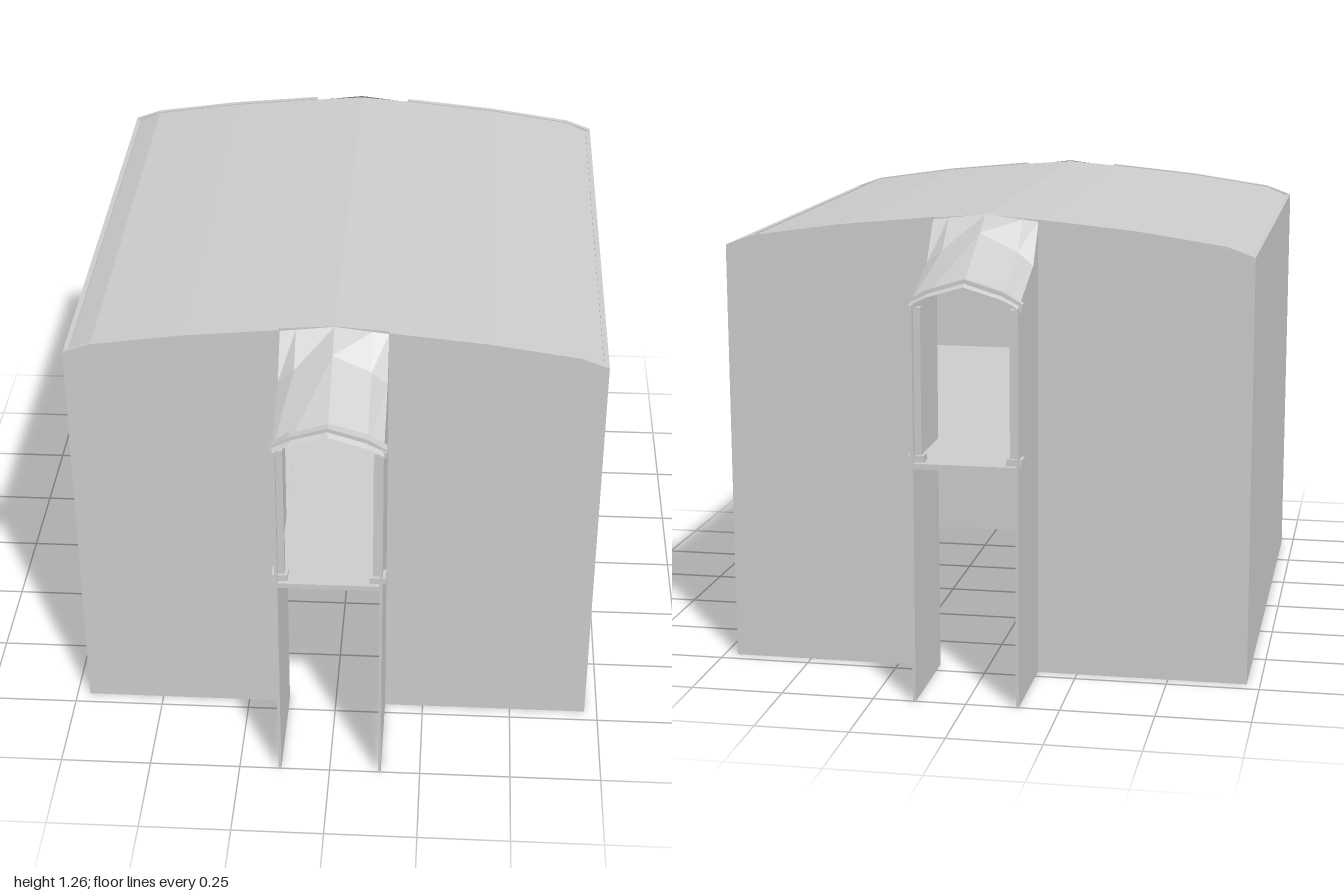
import * as THREE from 'three';

const HALF = 0.714;   // half width of the room
const DOOR = 0.142;   // half width of the passage
const T = 0.014;      // panel thickness
const FLOOR = 0.645;  // walking surface

// right half of the roof line, from ridge to eave
const ROOF = [[0, 1.258], [0.142, 1.247], [0.4, 1.222], [0.64, 1.187], [HALF, 1.16]];

// canopy sections, each z with a half profile from ridge to eave
const CANOPY = [
  { z: 0.706, p: [[0, 1.257], [0.1, 1.245], [DOOR, 1.24]] },
  { z: 0.785, p: [[0, 1.218], [0.1, 1.17], [DOOR, 1.135]] },
  { z: 1.0, p: [[0, 1.108], [0.1, 1.078], [DOOR, 1.057]] },
];

export function createModel() {
  const shell = new THREE.MeshStandardMaterial({ color: 0xcccccc, side: THREE.DoubleSide });
  shell.name = 'pale grey';
  const dark = new THREE.MeshStandardMaterial({ color: 0x5c4c38 });
  dark.name = 'dark brown';
  const underside = new THREE.MeshStandardMaterial({ color: 0xcccccc });
  underside.name = 'floor grey';

  const model = new THREE.Group();
  model.name = 'roomWithPassages';

  const add = (parent, name, geometry, material = shell) => {
    const mesh = new THREE.Mesh(geometry, material);
    mesh.name = name;
    parent.add(mesh);
    return mesh;
  };
  const box = (parent, name, size, pos, material) => {
    const mesh = add(parent, name, new THREE.BoxGeometry(...size), material);
    mesh.position.set(...pos);
    return mesh;
  };
  const extrude = (points, depth) => new THREE.ExtrudeGeometry(
    new THREE.Shape(points.map(([x, y]) => new THREE.Vector2(x, y))),
    { depth, bevelEnabled: false });
  const mirrored = (half) => [
    ...half.slice(1).reverse().map(([x, y]) => [-x, y]), ...half];

  // shallow arched roof, set just below the wall tops
  const top = mirrored(ROOF.map(([x, y]) => [Math.min(x, HALF - T), y - 0.003]));
  const lower = top.map(([x, y]) => [x, y - 0.012]).reverse();
  const roof = add(model, 'roof', extrude([...top, ...lower], 2 * (HALF - T)));
  roof.position.z = -(HALF - T);

  // plain side walls
  for (const s of [-1, 1]) {
    box(model, s > 0 ? 'leftWall' : 'rightWall', [T, 1.16, 2 * (HALF - T)],
      [s * (HALF - T / 2), 0.58, 0]);
  }

  // walkway running through both doors
  box(model, 'walkway', [2 * DOOR - 0.004, 0.015, 2], [0, FLOOR - 0.0075, 0]);

  // raised floors beside the walkway: top and underside share upward normals
  for (const s of [-1, 1]) {
    const w = HALF - T - DOOR;
    const sheet = new THREE.PlaneGeometry(w, 2 * (HALF - T)).rotateX(-Math.PI / 2);
    const x = s * (DOOR + w / 2);
    add(model, 'roomFloor', sheet, underside).position.set(x, 0.63, 0);
    const below = sheet.clone();
    below.setIndex([...sheet.index.array].reverse());
    add(model, 'roomFloorUnderside', below, underside).position.set(x, 0.626, 0);
  }

  // one end: wall panels, passage, canopy and door frame
  const makeEnd = (name) => {
    const end = new THREE.Group();
    end.name = name;

    for (const s of [-1, 1]) {
      const panel = [[DOOR, 0], [HALF, 0], ...ROOF.slice(1).reverse()]
        .map(([x, y]) => [s * x, y]);
      add(end, 'endPanel', extrude(panel, T)).position.z = HALF - T;

      // passage wall with its top following the canopy eave
      const wall = [[HALF - T, 0], [1, 0],
        ...CANOPY.slice().reverse().map(({ z, p }) => [z, p[2][1]])];
      const g = extrude(wall, 0.008).rotateY(-Math.PI / 2);
      add(end, 'passageWall', g).position.x = s > 0 ? DOOR : -DOOR + 0.008;

      // door post with foot and capital
      box(end, 'doorPost', [0.022, 0.4, 0.022], [s * 0.127, 0.85, 0.97]);
      box(end, 'postFoot', [0.042, 0.018, 0.04], [s * 0.129, 0.655, 0.97]);
      box(end, 'postCapital', [0.02, 0.018, 0.034], [s * 0.14, 1.054, 0.972]);
    }

    // faceted canopy lofted through its sections
    const rows = CANOPY.map(({ z, p }) => mirrored(p).map(([x, y]) => [x, y, z]));
    const pos = [];
    for (let i = 0; i < rows.length - 1; i++) {
      for (let j = 0; j < rows[i].length - 1; j++) {
        const [a, b] = [rows[i][j], rows[i][j + 1]];
        const [c, d] = [rows[i + 1][j], rows[i + 1][j + 1]];
        pos.push(...a, ...c, ...b, ...b, ...c, ...d);
      }
    }
    const canopy = new THREE.BufferGeometry();
    canopy.setAttribute('position', new THREE.Float32BufferAttribute(pos, 3));
    canopy.computeVertexNormals();
    add(end, 'canopy', canopy);

    // slim trim band around the canopy mouth
    const rim = mirrored([[0, 1.126], [0.1, 1.096], [0.15, 1.066]]);
    const inner = mirrored([[0, 1.106], [0.1, 1.076], [0.15, 1.047]]).reverse();
    add(end, 'canopyTrim', extrude([...rim, ...inner], 0.025)).position.z = 0.96;
    return end;
  };
  model.add(makeEnd('frontEnd'));
  const back = makeEnd('backEnd');
  back.rotation.y = Math.PI;
  model.add(back);

  // small support with a square base below the floor
  box(model, 'supportPost', [0.045, 0.18, 0.045], [-0.21, 0.54, 0.17], dark);
  box(model, 'supportBase', [0.09, 0.02, 0.09], [-0.21, 0.45, 0.17], dark);

  return model;
}
